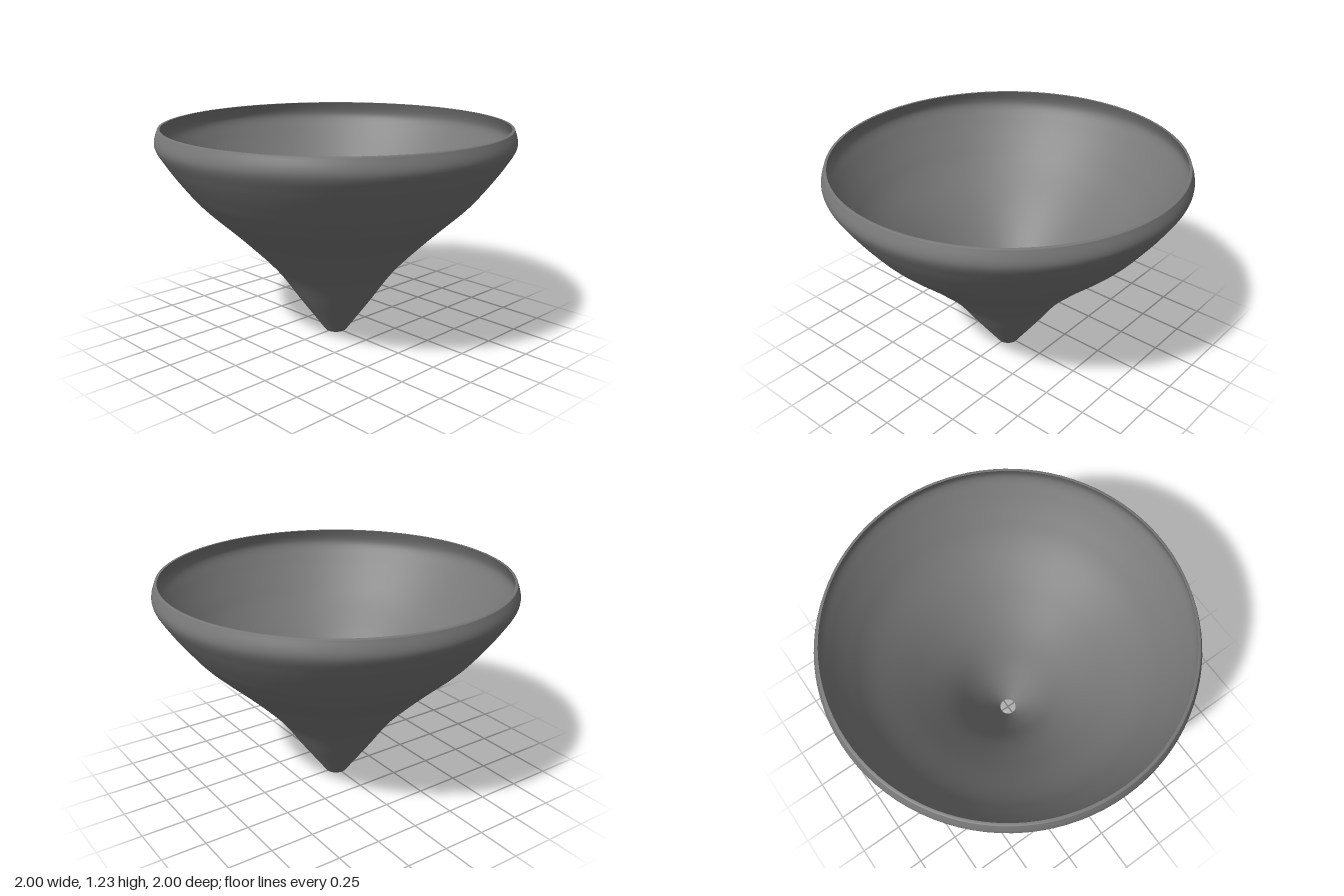
import * as THREE from 'three';

const SEGMENTS = 96;
const STEPS = 64;
const WALL = 0.012;
const HEIGHT = 1.225;

export function createModel() {
  const group = new THREE.Group();
  group.name = 'funnelBowl';
  const material = new THREE.MeshStandardMaterial({ color: 0x787878 });

  // Outer wall profile: narrow spout, soft waist, flared bowl, inward rim
  const curve = new THREE.SplineCurve([
    [0.062, 0], [0.208, 0.2], [0.352, 0.4], [0.545, 0.6], [0.757, 0.8],
    [0.862, 0.925], [0.948, 1.045], [0.998, 1.14], [0.978, HEIGHT],
  ].map(([r, y]) => new THREE.Vector2(r, y)));
  const outer = curve.getPoints(STEPS);

  // Inner wall profile: the outer one moved inwards by the wall thickness
  const inner = outer.map((p, i) => {
    const t = curve.getTangent(i / STEPS);
    return new THREE.Vector2(p.x - t.y * WALL, p.y + t.x * WALL);
  });
  inner[0].set(0.049, 0);
  inner[STEPS].set(0.964, HEIGHT);
  inner.reverse();

  const addLathe = (name, points) => {
    const mesh = new THREE.Mesh(new THREE.LatheGeometry(points, SEGMENTS), material);
    mesh.name = name;
    group.add(mesh);
  };

  // The rim blends into the outer wall; the inner edges stay crisp
  addLathe('outerWallAndRim', [...outer, inner[0]]);
  addLathe('innerWall', inner);
  addLathe('spoutLip', [inner[STEPS], outer[0]]);

  return group;
}
